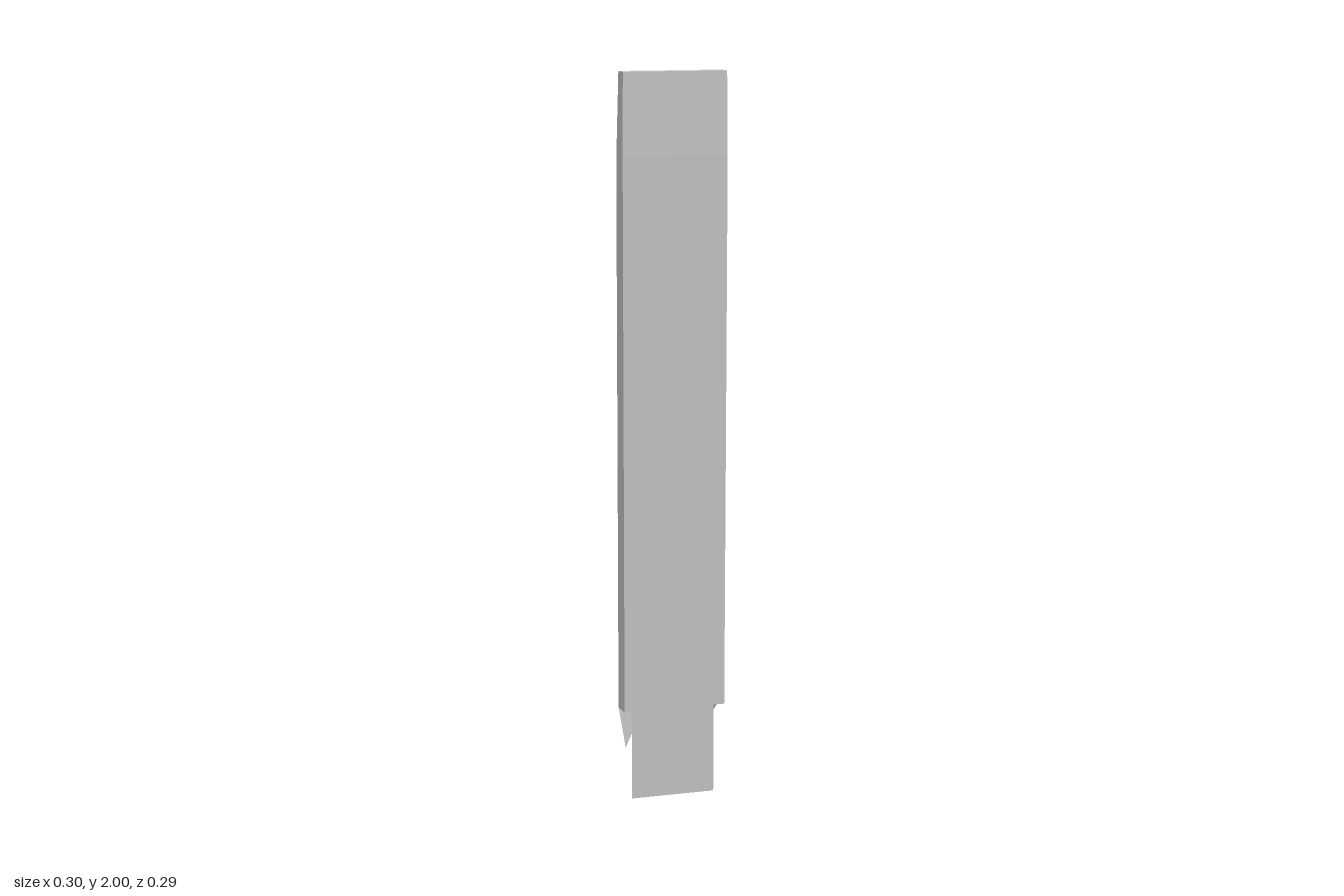
import * as THREE from 'three';

const mirror = ([x, y, z]) => [-x, y, z];

// Faceted shell, symmetric in x. Each ring lists its right-hand points from front to back.
function shell(name, rings, capped) {
  const pos = [];
  const quad = (a, b, c, d) => pos.push(...a, ...b, ...c, ...a, ...c, ...d);
  const last = rings[0].length - 1;
  for (let r = 0; r + 1 < rings.length; r++) {
    const lo = rings[r], hi = rings[r + 1];
    // side facets, right and left
    for (let i = 0; i < last; i++) {
      const q = [lo[i], lo[i + 1], hi[i + 1], hi[i]];
      quad(...q);
      const [a, b, c, d] = q.map(mirror);
      quad(a, d, c, b);
    }
    // front and back
    quad(mirror(lo[0]), lo[0], hi[0], mirror(hi[0]));
    quad(lo[last], mirror(lo[last]), mirror(hi[last]), hi[last]);
  }
  // stepped top, front to back
  if (capped) {
    const top = rings[rings.length - 1];
    for (let i = 0; i < last; i++) {
      quad(mirror(top[i]), top[i], top[i + 1], mirror(top[i + 1]));
    }
  }
  const geo = new THREE.BufferGeometry();
  geo.setAttribute('position', new THREE.Float32BufferAttribute(pos, 3));
  geo.computeVertexNormals();
  const mesh = new THREE.Mesh(geo, new THREE.MeshStandardMaterial({
    color: 0xcccccc, flatShading: true, side: THREE.DoubleSide,
  }));
  mesh.name = name;
  return mesh;
}

export function createModel() {
  const model = new THREE.Group();
  model.name = 'taperedBlock';

  // long tapered body, notched and open below, bevelled on top
  model.add(shell('body', [
    [[0.143, 0.26, 0.145], [0.148, 0.26, 0.097], [0.098, 0.095, -0.02], [0.045, 0.095, -0.145]],
    [[0.143, 1.78, 0.145], [0.148, 1.77, 0.097], [0.094, 1.75, -0.03], [0.045, 1.705, -0.145]],
    [[0.141, 2, 0.142], [0.141, 2, 0.095], [0.088, 1.873, -0.071], [0.044, 1.71, -0.145]],
  ], true));

  // narrower open sleeve at the foot, with a sloping upper edge
  model.add(shell('footSleeve', [
    [[0.118, 0, 0.126], [0.035, 0, -0.118]],
    [[0.118, 0.257, 0.126], [0.035, 0.1, -0.118]],
  ], false));

  return model;
}
